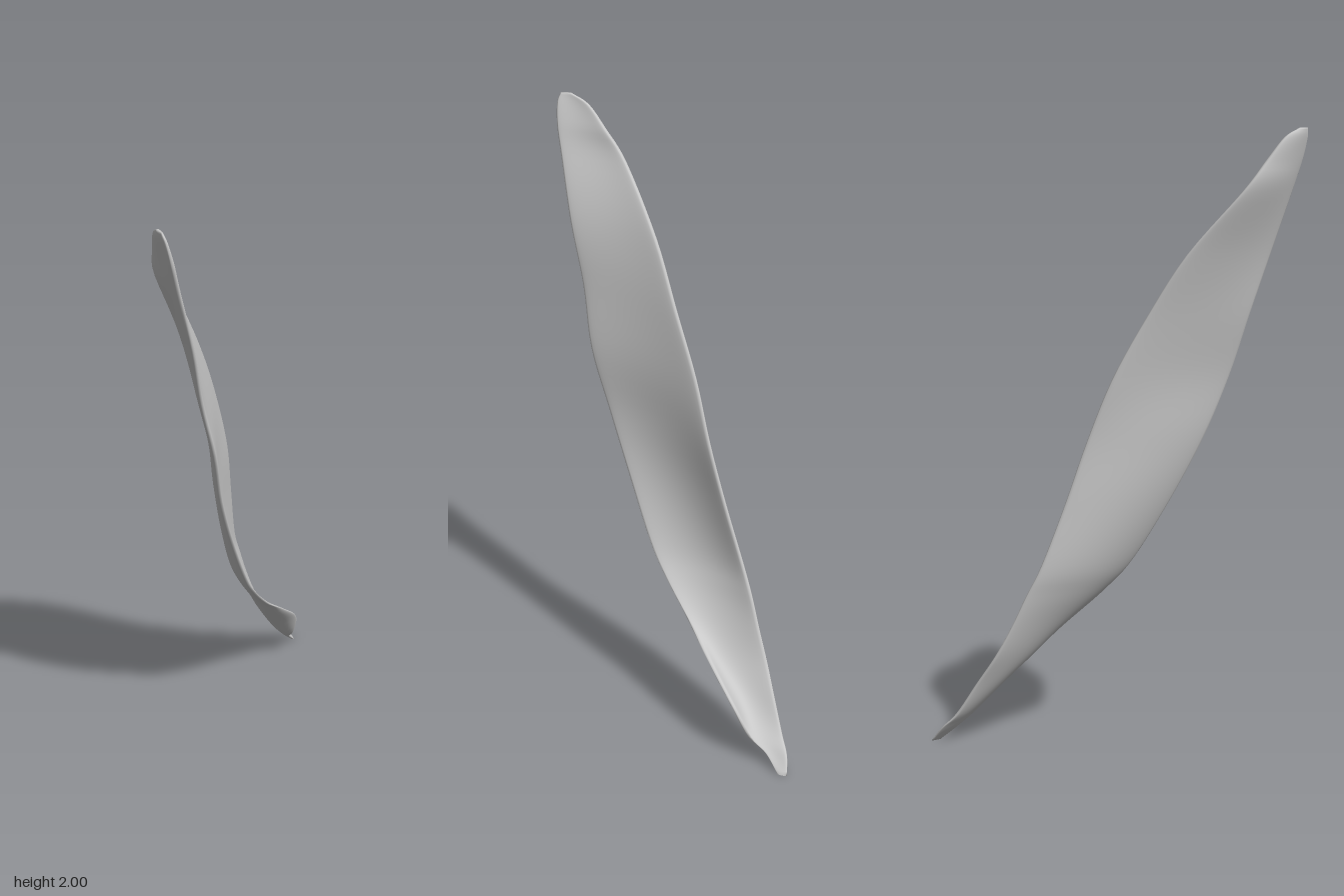
import * as THREE from 'three';

// Cross-sections from foot to tip: height, then x,z of the front edge, belly and back edge
const SECTIONS = [
  [0.0, 0.468, -0.345, 0.474, -0.36, 0.478, -0.376],
  [0.05, 0.425, -0.305, 0.42, -0.335, 0.435, -0.375],
  [0.1, 0.405, -0.252, 0.378, -0.29, 0.385, -0.36],
  [0.2, 0.38, -0.2, 0.3, -0.225, 0.325, -0.335],
  [0.3, 0.275, -0.125, 0.22, -0.165, 0.262, -0.31],
  [0.4, 0.155, -0.045, 0.15, -0.135, 0.215, -0.283],
  [0.5, 0.06, 0.028, 0.085, -0.11, 0.175, -0.258],
  [0.6, -0.012, 0.082, 0.035, -0.088, 0.135, -0.228],
  [0.8, -0.112, 0.153, -0.038, -0.025, 0.083, -0.168],
  [1.0, -0.195, 0.218, -0.098, 0.037, 0.035, -0.115],
  [1.2, -0.255, 0.277, -0.155, 0.095, -0.032, -0.07],
  [1.4, -0.315, 0.302, -0.23, 0.142, -0.122, -0.006],
  [1.6, -0.368, 0.342, -0.315, 0.192, -0.232, 0.06],
  [1.8, -0.428, 0.37, -0.417, 0.255, -0.378, 0.158],
  [1.9, -0.457, 0.383, -0.45, 0.3, -0.425, 0.226],
  [1.97, -0.476, 0.382, -0.474, 0.33, -0.456, 0.28],
  [2.0, -0.484, 0.37, -0.483, 0.352, -0.478, 0.335],
];
const ROWS = 80, RING = 40;

// Smooth lengthwise curve through one column pair of the sections
function rail(col) {
  const pts = SECTIONS.map((s) => new THREE.Vector3(s[col], s[0], s[col + 1]));
  return new THREE.CatmullRomCurve3(pts, false, 'catmullrom', 0.5);
}

function bladeGeometry() {
  const front = rail(1), belly = rail(3), back = rail(5);
  const pos = [], index = [];
  for (let j = 0; j <= ROWS; j++) {
    const t = j / ROWS;
    const a = front.getPoint(t), m = belly.getPoint(t), b = back.getPoint(t);
    const c = m.clone().multiplyScalar(2).addScaledVector(a, -0.5).addScaledVector(b, -0.5);
    const arc = new THREE.QuadraticBezierCurve3(a, c, b);
    // Thin shell, thinner still at both ends
    const half = 0.005 + 0.007 * Math.min(1, 8 * t, 8 * (1 - t));
    for (let i = 0; i < RING; i++) {
      const ang = (i / RING) * Math.PI * 2;
      const u = (1 - Math.cos(ang)) / 2;
      const p = arc.getPoint(u), d = arc.getTangent(u);
      const s = Math.sin(ang);
      const off = half * Math.sign(s) * Math.pow(Math.abs(s), 0.5);
      pos.push(p.x - d.z * off, p.y, p.z + d.x * off);
    }
  }
  // Skin between neighbouring rings
  for (let j = 0; j < ROWS; j++) {
    for (let i = 0; i < RING; i++) {
      const k = (i + 1) % RING;
      const p = j * RING + i, q = j * RING + k;
      index.push(p, q, q + RING, p, q + RING, p + RING);
    }
  }
  // End caps, zipped across the two faces of the ring
  const top = ROWS * RING;
  for (let i = 1; i < RING - 1; i++) {
    index.push(0, i + 1, i);
    index.push(top, top + i, top + i + 1);
  }
  const geo = new THREE.BufferGeometry();
  geo.setAttribute('position', new THREE.Float32BufferAttribute(pos, 3));
  geo.setIndex(index);
  geo.computeVertexNormals();
  return geo;
}

export function createModel() {
  const group = new THREE.Group();
  group.name = 'curvedBlade';
  const grey = new THREE.MeshStandardMaterial({ color: 0xc8c8c8 });
  grey.name = 'light grey';
  const blade = new THREE.Mesh(bladeGeometry(), grey);
  blade.name = 'bladeShell';
  group.add(blade);
  return group;
}
